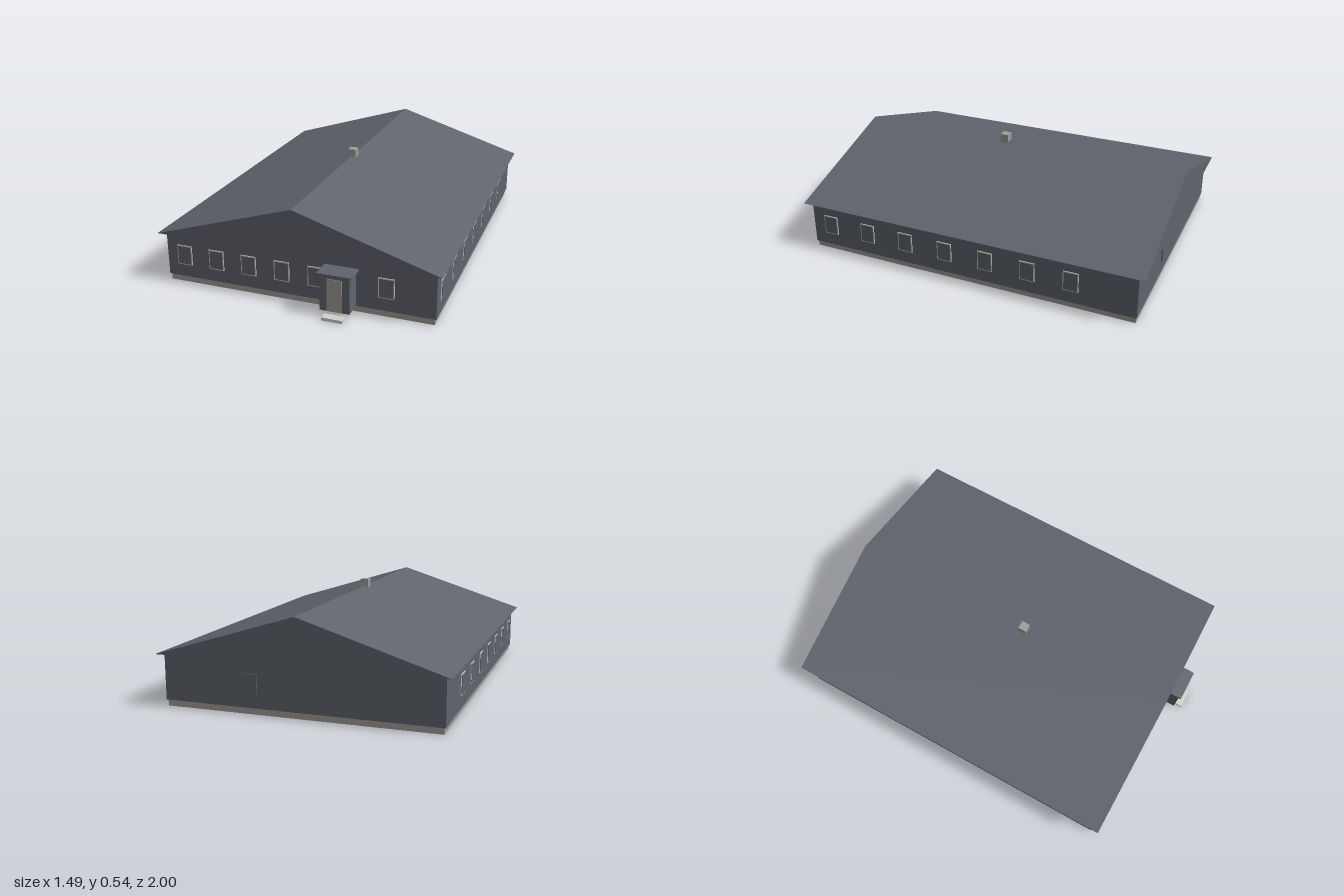
import * as THREE from 'three';

export function createModel() {
  const model = new THREE.Group();
  const mat = (name, color) => {
    const m = new THREE.MeshStandardMaterial({ color });
    m.name = name;
    return m;
  };
  const slate = mat('slate grey', 0x5f646d);
  const stone = mat('warm stone', 0xa09c96);
  const trim = mat('pale trim', 0xd4d1c9);

  // Box given by its extents along each axis
  const box = (name, material, [x0, x1], [y0, y1], [z0, z1], parent = model) => {
    const mesh = new THREE.Mesh(new THREE.BoxGeometry(x1 - x0, y1 - y0, z1 - z0), material);
    mesh.position.set((x0 + x1) / 2, (y0 + y1) / 2, (z0 + z1) / 2);
    mesh.name = name;
    parent.add(mesh);
    return mesh;
  };

  // Main body
  box('foundation', stone, [-0.707, 0.707], [0, 0.032], [-0.96, 0.86]);
  box('walls', slate, [-0.715, 0.715], [0.032, 0.27], [-0.965, 0.865]);

  // Closed gable roof
  const gable = new THREE.Shape([
    new THREE.Vector2(-0.747, 0.27),
    new THREE.Vector2(0.747, 0.27),
    new THREE.Vector2(0, 0.502),
  ]);
  const roof = new THREE.Mesh(new THREE.ExtrudeGeometry(gable, { depth: 1.9, bevelEnabled: false }), slate);
  roof.position.z = -1;
  roof.name = 'roof';
  model.add(roof);
  box('chimney', stone, [-0.023, 0.023], [0.485, 0.541], [0.012, 0.058]);

  // Window facing +z locally: pane standing just proud of a thin pale surround
  const addWindow = (x, z, turn, framed = true) => {
    const g = new THREE.Group();
    g.name = 'window';
    if (framed) box('windowFrame', trim, [-0.041, 0.041], [0.1, 0.206], [-0.002, 0.004], g);
    box('windowPane', slate, [-0.036, 0.036], [0.105, 0.201], [-0.002, 0.006], g);
    g.position.set(x, 0, z);
    g.rotation.y = turn;
    model.add(g);
  };
  for (const x of [-0.615, -0.434, -0.254, -0.073, 0.107, 0.469]) addWindow(x, 0.865, 0);
  for (let i = 0; i < 7; i++) {
    const z = 0.755 - i * 0.2305;
    for (const s of [-1, 1]) addWindow(s * 0.715, z, s * Math.PI / 2);
  }
  addWindow(0.25, -0.965, Math.PI, false);

  // Entrance porch with door, canopy and step
  const porch = new THREE.Group();
  porch.name = 'porch';
  model.add(porch);
  box('porchWalls', slate, [0.164, 0.316], [0.032, 0.221], [0.86, 0.958], porch);
  box('porchCanopy', slate, [0.154, 0.33], [0.221, 0.231], [0.86, 0.97], porch);
  box('door', stone, [0.202, 0.279], [0.033, 0.204], [0.955, 0.961], porch);
  box('step', trim, [0.188, 0.294], [0, 0.016], [0.958, 1], porch);

  return model;
}
